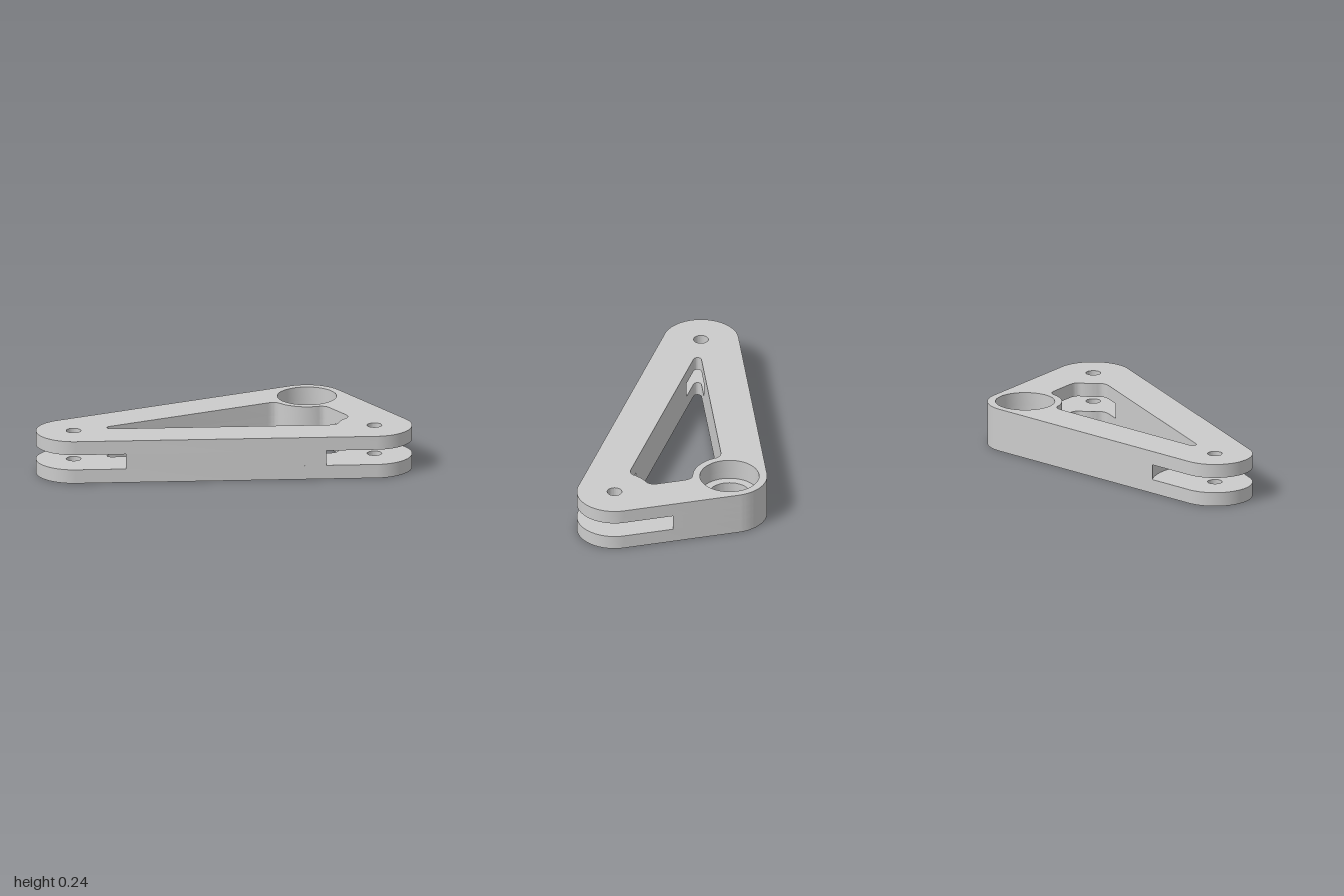
import * as THREE from 'three';
import { toCreasedNormals } from 'three/addons/utils/BufferGeometryUtils.js';

// Corner centres in plan (second coordinate is -z)
const L = new THREE.Vector2(-0.795, -0.425);
const R = new THREE.Vector2(0.793, -0.027);
const T = new THREE.Vector2(0.335, 0.427);
const ROUND = 0.205;   // outer corner radius
const INNER = -0.02;   // window edge, relative to the corner-to-corner line
const LUG = 0.2;       // window radius around the right and rear corners
const SLOT = 0.342;    // clevis slot radius

// Side between two corners, walked counter-clockwise
function side(a, b) {
  const u = b.clone().sub(a).normalize();
  const n = new THREE.Vector2(u.y, -u.x);
  return {
    len: a.distanceTo(b), n,
    at: (s, o) => a.clone().addScaledVector(u, s).addScaledVector(n, o),
  };
}
const front = side(L, R), right = side(R, T), rear = side(T, L);

const angleTo = (c, p) => Math.atan2(p.y - c.y, p.x - c.x);
const polar = (c, r, a) => new THREE.Vector2(c.x + r * Math.cos(a), c.y + r * Math.sin(a));
const arc = (c, r, a0, a1, clockwise = false, n = 32) =>
  new THREE.Path().absarc(c.x, c.y, r, a0, a1, clockwise).curves[0].getPoints(n);

// Rounded outer corner
const corner = (c, sIn, sOut) => arc(c, ROUND, sIn.n.angle(), sOut.n.angle());

// Window edge going round a corner lug, with filleted ears
function lugEdge(c, sIn, sOut) {
  const earIn = sIn.at(sIn.len - LUG, INNER), earOut = sOut.at(LUG, INNER);
  const a0 = angleTo(c, earIn) - 0.2, a1 = angleTo(c, earOut) + 0.2;
  const fillet = (p, q, r) => new THREE.QuadraticBezierCurve(p, q, r).getPoints(10);
  return [
    ...fillet(sIn.at(sIn.len - 0.25, INNER), earIn, polar(c, LUG, a0)),
    ...arc(c, LUG, a0, a1, true, 20).slice(1, -1),
    ...fillet(polar(c, LUG, a1), earOut, sOut.at(0.25, INNER)),
  ];
}

// Point where a side, at a given offset, meets the slot circle at its start or end
function slotPoint(s, offset, atEnd) {
  const along = Math.sqrt(SLOT * SLOT - offset * offset);
  return s.at(atEnd ? s.len - along : along, offset);
}
const slotArc = (c, p, q) => arc(c, SLOT, angleTo(c, p), angleTo(c, q), true);

function hole(c, r) {
  return new THREE.Path().absarc(c.x, c.y, r, 0, Math.PI * 2, true);
}

export function createModel() {
  const group = new THREE.Group();
  const material = new THREE.MeshStandardMaterial({ color: 0xcccccc });

  function layer(name, points, holes, y0, y1) {
    const shape = new THREE.Shape(points);
    shape.holes.push(...holes);
    const geo = new THREE.ExtrudeGeometry(shape, { depth: y1 - y0, bevelEnabled: false, curveSegments: 40 });
    geo.rotateX(-Math.PI / 2).translate(0, y0, 0);
    const mesh = new THREE.Mesh(toCreasedNormals(geo, 0.5), material);
    mesh.name = name;
    group.add(mesh);
  }

  // Full triangular outline and window
  const outline = [...corner(L, rear, front), ...corner(R, front, right), ...corner(T, right, rear)];
  const tipR = 0.022;
  const tipC = L.clone().addScaledVector(
    rear.n.clone().add(front.n), (INNER - tipR) / (1 + rear.n.dot(front.n)));
  const rightLug = lugEdge(R, front, right), rearLug = lugEdge(T, right, rear);
  const windowEdge = [...arc(tipC, tipR, rear.n.angle(), front.n.angle(), false, 16), ...rightLug, ...rearLug];
  const plateHoles = (bore) => [new THREE.Path(windowEdge), hole(L, 0.04), hole(R, 0.04), hole(T, bore)];

  // Middle layer: rear arms joined at the bore
  const arms = [
    ...corner(T, right, rear),
    ...slotArc(L, slotPoint(rear, ROUND, true), slotPoint(rear, INNER, true)),
    ...[...rearLug].reverse(),
    ...slotArc(R, slotPoint(right, INNER, false), slotPoint(right, ROUND, false)),
  ];
  // Middle layer: front bar between the two slots
  const bar = [
    ...slotArc(R, slotPoint(front, ROUND, true), slotPoint(front, INNER, true)),
    ...slotArc(L, slotPoint(front, INNER, false), slotPoint(front, ROUND, false)),
  ];

  // Stacked layers; the bore widens to a bearing seat at mid height
  const BORE = 0.115, SEAT = 0.161;
  layer('lowerPlate', outline, plateHoles(BORE), 0, 0.077);
  layer('lowerRearArms', arms, [hole(T, BORE)], 0.077, 0.122);
  layer('upperRearArms', arms, [hole(T, SEAT)], 0.122, 0.161);
  layer('frontBar', bar, [], 0.077, 0.161);
  layer('upperPlate', outline, plateHoles(SEAT), 0.161, 0.237);
  return group;
}
